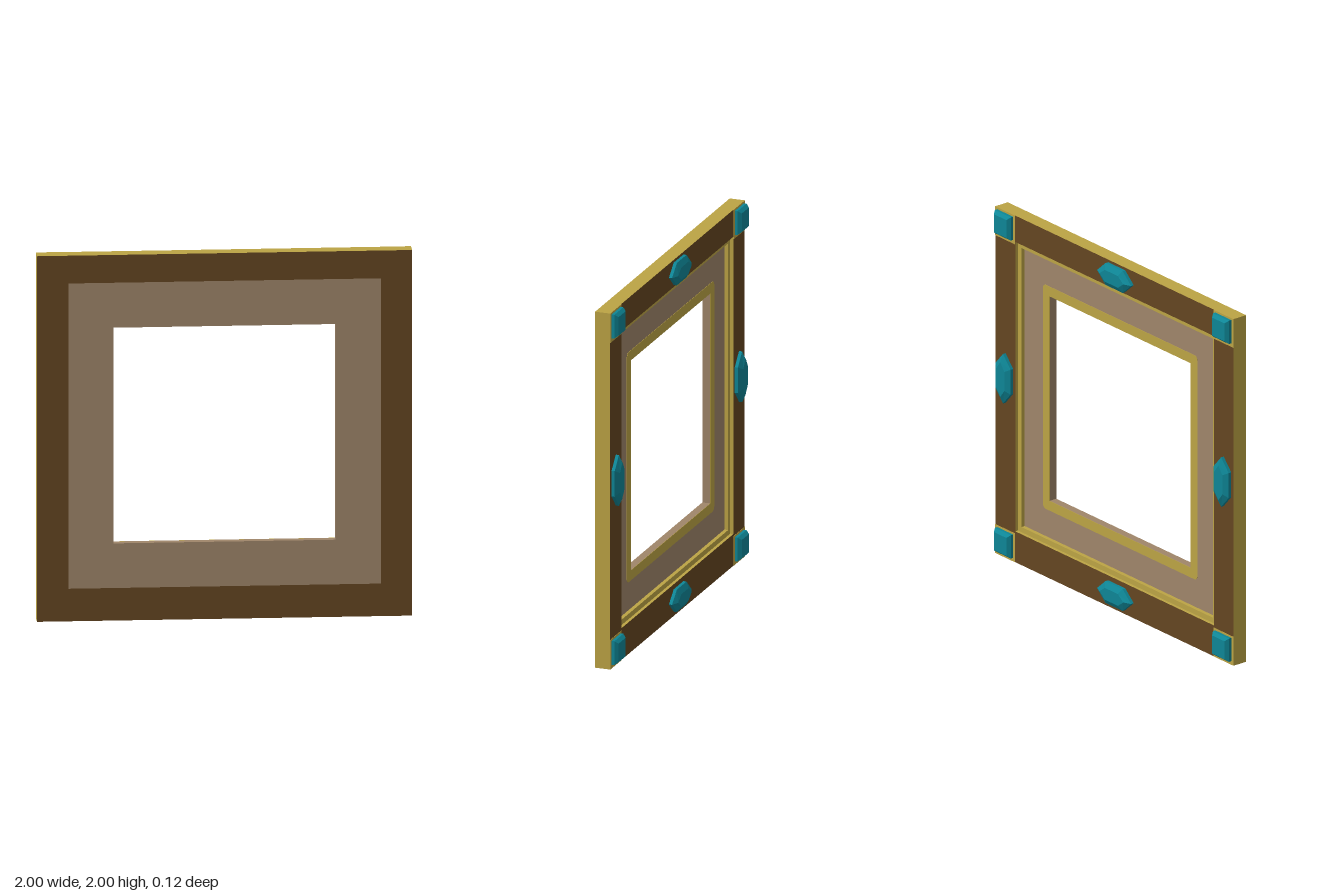
import * as THREE from 'three';

const mat = (name, color) => {
  const m = new THREE.MeshStandardMaterial({ color });
  m.name = name;
  return m;
};

// Rectangle outline centred on (0, cy), with optional rounded corners
function rect(path, hw, hh, cy, r = 0) {
  if (r === 0) {
    path.moveTo(-hw, cy - hh).lineTo(hw, cy - hh).lineTo(hw, cy + hh).lineTo(-hw, cy + hh).closePath();
    return path;
  }
  const corners = [[1, -1, -Math.PI / 2], [1, 1, 0], [-1, 1, Math.PI / 2], [-1, -1, Math.PI]];
  path.moveTo(-hw + r, cy - hh);
  for (const [sx, sy, a] of corners) {
    path.absarc(sx * (hw - r), cy + sy * (hh - r), r, a, a + Math.PI / 2, false);
  }
  return path;
}

// Flat rectangular ring between z0 and z1
function ring(name, outer, inner, z0, z1, faceMat, sideMat) {
  const shape = rect(new THREE.Shape(), ...outer);
  shape.holes.push(rect(new THREE.Path(), ...inner));
  const geo = new THREE.ExtrudeGeometry(shape, { depth: z1 - z0, bevelEnabled: false, curveSegments: 4 });
  geo.translate(0, 0, z0);
  const mesh = new THREE.Mesh(geo, [faceMat, sideMat]);
  mesh.name = name;
  return mesh;
}

// Faceted gem: outline lofted from base to girdle to a smaller table, pointing along +z
function gemGeometry(outline, table) {
  const layers = [[outline, 0], [outline, 0.018], [table, 0.037]];
  const pos = [];
  const n = outline.length;
  const pt = (k, i) => [...layers[k][0][i % n], layers[k][1]];
  for (let k = 0; k < 2; k++) {
    for (let i = 0; i < n; i++) {
      const a = pt(k, i), b = pt(k, i + 1), c = pt(k + 1, i + 1), d = pt(k + 1, i);
      pos.push(...a, ...b, ...c, ...a, ...c, ...d);
    }
  }
  for (let i = 1; i < n - 1; i++) pos.push(...pt(2, 0), ...pt(2, i), ...pt(2, i + 1));
  const geo = new THREE.BufferGeometry();
  geo.setAttribute('position', new THREE.Float32BufferAttribute(pos, 3));
  geo.computeVertexNormals();
  return geo;
}

const hexagon = (tip, shoulder, hw) =>
  [[tip, 0], [shoulder, hw], [-shoulder, hw], [-tip, 0], [-shoulder, -hw], [shoulder, -hw]];
const square = (h) => [[h, -h], [h, h], [-h, h], [-h, -h]];

export function createModel() {
  const brown = mat('darkWood', 0x654621);
  const tan = mat('tanPanel', 0xa0866a);
  const gold = mat('gold', 0xbca445);
  const teal = mat('tealGem', 0x0e8696);
  const model = new THREE.Group();
  model.name = 'pictureFrame';

  // Border, stepped gold ledge, recessed panel and inlay round the opening
  const opening = [0.592, 0.59, 1.012];
  model.add(
    ring('border', [1, 1, 1], [0.833, 0.835, 1.013], -0.025, 0.06, brown, gold),
    ring('ledge', [0.833, 0.835, 1.013], [0.803, 0.805, 1.013], -0.007, 0.015, gold, gold),
    ring('innerPanel', [0.833, 0.835, 1.013], opening, 0.015, 0.06, tan, tan),
    ring('openingInlay', [0.648, 0.646, 1.012, 0.025], opening, 0.013, 0.015, gold, gold),
  );

  const addGem = (name, geo, x, y, roll) => {
    const gem = new THREE.Mesh(geo, teal);
    gem.name = name;
    gem.rotation.set(0, Math.PI, roll);
    gem.position.set(x, y, -0.025);
    model.add(gem);
  };

  // Long gems at the middle of each side of the back
  const longGem = gemGeometry(hexagon(0.143, 0.072, 0.063), hexagon(0.1, 0.055, 0.034));
  addGem('topGem', longGem, -0.018, 1.922, 0);
  addGem('bottomGem', longGem, -0.018, 0.087, 0);
  addGem('leftGem', longGem, 0.914, 1.037, Math.PI / 2);
  addGem('rightGem', longGem, -0.916, 1.037, Math.PI / 2);

  // Square gems on gold corner plates
  const squareGem = gemGeometry(square(0.067), square(0.052));
  for (const sx of [-1, 1]) {
    for (const top of [false, true]) {
      const plate = new THREE.Mesh(new THREE.BoxGeometry(0.166, 0.166, 0.004), gold);
      plate.name = 'cornerPlate';
      plate.position.set(sx * 0.917, top ? 1.917 : 0.083, -0.025);
      model.add(plate);
      addGem('cornerGem', squareGem, sx * 0.915, top ? 1.922 : 0.088, 0);
    }
  }
  return model;
}
